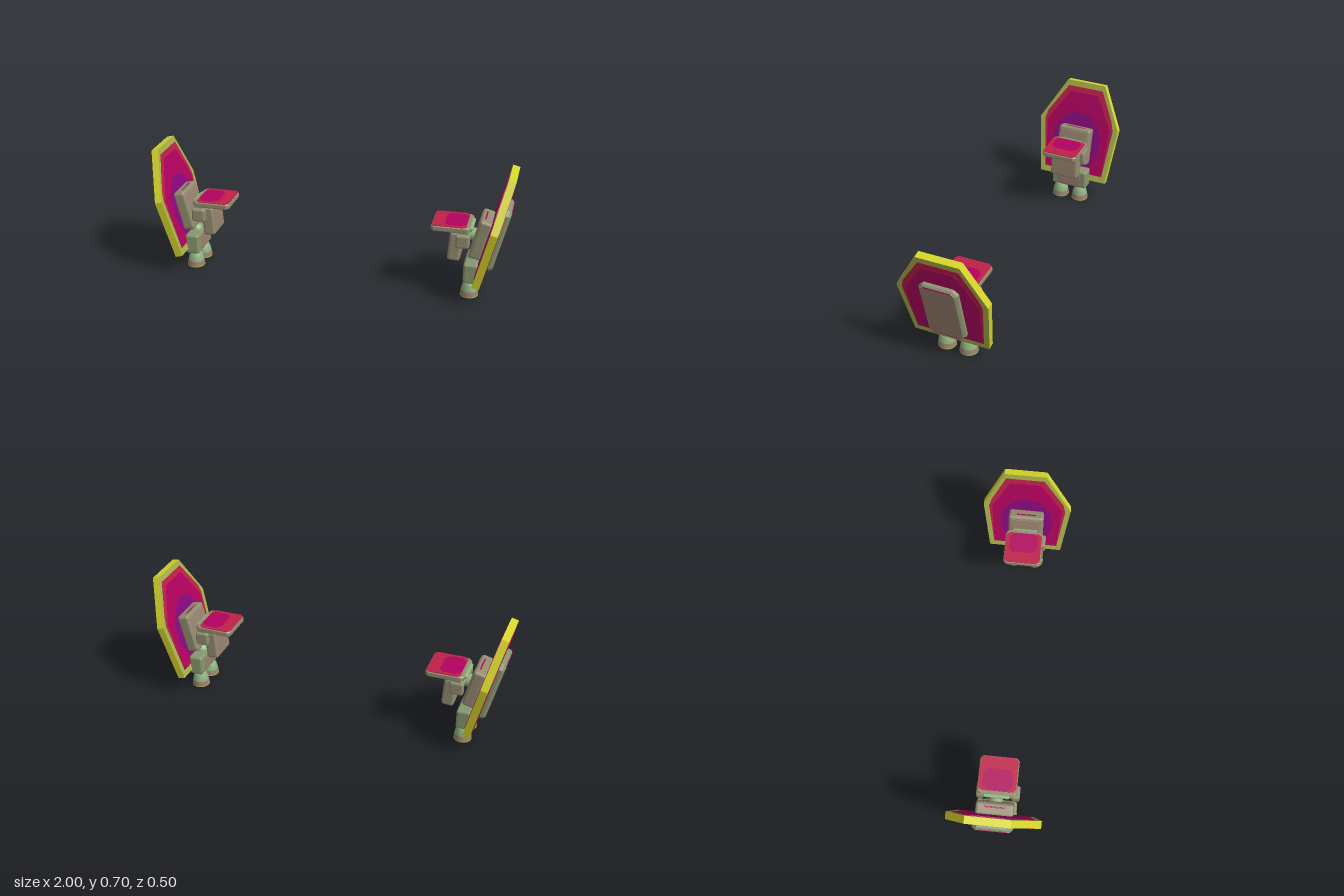
import * as THREE from 'three';
import { RoundedBoxGeometry } from 'three/addons/geometries/RoundedBoxGeometry.js';

const material = (name, color, side = THREE.FrontSide) => {
  const m = new THREE.MeshStandardMaterial({ color, side });
  m.name = name;
  return m;
};

const mats = {
  yellow: material('yellow rim', 0xd6d62a),
  olive: material('olive border', 0xa9b44c),
  crimson: material('crimson', 0xc0204a),
  magenta: material('magenta', 0xb2025f),
  purple: material('purple', 0x88087c),
  violet: material('violet', 0xaa088e, THREE.DoubleSide),
  taupe: material('taupe', 0x9a8270),
  khaki: material('khaki', 0x938c70),
  greyGreen: material('grey green', 0x88966f),
  green: material('soft green', 0x8fb381),
};

// Shield outline in its own plane: u runs towards the back, v runs up the panel
const outline = [[-0.21, 0], [0.21, 0], [0.25, 0.344], [0.135, 0.602], [-0.1, 0.602], [-0.25, 0.344]];
const inlay = [[-0.185, 0.038], [0.185, 0.038], [0.219, 0.335], [0.205, 0.39], [0.125, 0.568], [-0.09, 0.568], [-0.205, 0.39], [-0.219, 0.335]];
const field = [[-0.183, 0.04], [0.183, 0.04], [0.2, 0.34], [0.11, 0.52], [0.095, 0.535], [-0.07, 0.535], [-0.085, 0.52], [-0.2, 0.34]];
const patch = [[-0.143, 0.083], [-0.1, 0.083], [-0.1, 0.145], [-0.12, 0.135], [-0.14, 0.105]];

function mesh(parent, name, geometry, mat, x = 0, y = 0, z = 0) {
  const m = new THREE.Mesh(geometry, mat);
  m.name = name;
  m.position.set(x, y, z);
  parent.add(m);
  return m;
}

// Flat plate facing +x, cut from a polygon, starting at x and growing outwards
function plate(parent, name, points, x, depth, mat, bevel = 0) {
  const shape = new THREE.Shape(points.map(([u, v]) => new THREE.Vector2(u, v)));
  const geometry = new THREE.ExtrudeGeometry(shape, {
    depth: depth - bevel, bevelEnabled: bevel > 0, bevelSize: bevel,
    bevelOffset: -bevel, bevelThickness: bevel, bevelSegments: 1,
  });
  geometry.rotateY(Math.PI / 2);
  return mesh(parent, name, geometry, mat, x);
}

function box(parent, name, size, pos, mat, radius = 0.012) {
  return mesh(parent, name, new RoundedBoxGeometry(...size, 2, radius), mat, ...pos);
}

// Rectangle with cut corners
function octagon(w, v0, v1, c) {
  return [[-w + c, v0], [w - c, v0], [w, v0 + c], [w, v1 - c],
    [w - c, v1], [-w + c, v1], [-w, v1 - c], [-w, v0 + c]];
}

function createShield() {
  const shield = new THREE.Group();
  shield.name = 'shield';
  plate(shield, 'shieldPanel', outline, -0.04, 0.04, [mats.olive, mats.yellow]);

  // Coloured inlays on both faces
  plate(shield, 'outerInlay', inlay, 0, 0.002, mats.crimson);
  plate(shield, 'outerField', field, 0.002, 0.002, mats.magenta);
  plate(shield, 'outerPatch', patch, 0.004, 0.001, mats.purple);
  plate(shield, 'innerInlay', inlay, -0.042, 0.002, mats.crimson);
  plate(shield, 'innerField', field, -0.044, 0.002, mats.magenta);
  const centre = mesh(shield, 'innerCentre', new THREE.CircleGeometry(1, 32), mats.purple, -0.0455, 0.23, 0);
  centre.rotation.y = -Math.PI / 2;
  centre.scale.set(0.15, 0.185, 1);

  // Raised cover outside, with thin accents at both ends of its face
  plate(shield, 'outerCover', octagon(0.105, 0.063, 0.432, 0.025), 0, 0.033, mats.greyGreen, 0.012);
  plate(shield, 'coverFace', octagon(0.09, 0.074, 0.421, 0.008), 0.032, 0.003, mats.taupe);
  for (const v of [0.0715, 0.4235]) {
    box(shield, 'coverAccent', [0.004, 0.006, 0.15], [0.033, v, 0], mats.magenta, 0.001);
  }

  // Mounting block inside
  box(shield, 'mountBlock', [0.07, 0.225, 0.2], [-0.075, 0.22, 0], mats.khaki, 0.016);
  box(shield, 'mountFace', [0.006, 0.185, 0.16], [-0.109, 0.22, 0], mats.taupe, 0.003);
  box(shield, 'mountStripe', [0.008, 0.004, 0.11], [-0.085, 0.332, 0], mats.magenta, 0.001);
  return shield;
}

function createNozzle() {
  const nozzle = new THREE.Group();
  nozzle.name = 'nozzle';
  const lathe = (pts) => new THREE.LatheGeometry(pts.map(([r, y]) => new THREE.Vector2(r, y)), 28);
  mesh(nozzle, 'nozzleBell', lathe([[0.045, 0.034], [0.041, 0.055], [0.034, 0.075], [0.027, 0.084], [0, 0.088]]), mats.green);
  mesh(nozzle, 'nozzleBand', lathe([[0.049, 0.008], [0.048, 0.02], [0.045, 0.034]]), mats.taupe);
  mesh(nozzle, 'nozzleLip', lathe([[0.038, 0.002], [0.042, 0], [0.048, 0], [0.05, 0.003], [0.049, 0.008]]), mats.olive);
  mesh(nozzle, 'nozzleInside', lathe([[0.039, 0.002], [0.035, 0.014], [0, 0.02]]), mats.violet);
  return nozzle;
}

// Flat tray with cut corners, coloured on top and underneath
function createTray() {
  const tray = new THREE.Group();
  tray.name = 'tray';
  plate(tray, 'trayBody', octagon(0.105, -0.105, 0.105, 0.016), -0.013, 0.026, mats.khaki, 0.006);
  plate(tray, 'trayTop', octagon(0.101, -0.084, 0.101, 0.016), 0.012, 0.004, mats.crimson);
  plate(tray, 'trayTopCentre', octagon(0.08, -0.082, 0.035, 0.025), 0.016, 0.001, mats.magenta);
  plate(tray, 'trayUnderside', octagon(0.092, -0.03, 0.096, 0.012), -0.021, 0.003, mats.crimson);
  tray.rotation.z = Math.PI / 2;
  tray.position.set(0.67, 0.394, 0);
  return tray;
}

function createPod() {
  const pod = new THREE.Group();

  const shield = createShield();
  shield.position.set(0.85, 0.107, 0);
  shield.rotation.z = -0.2515;
  pod.add(shield);

  // Base block with a central band, on two nozzles
  box(pod, 'baseBlock', [0.08, 0.115, 0.22], [0.79, 0.1425, 0], mats.greyGreen, 0.014);
  box(pod, 'baseBand', [0.084, 0.09, 0.14], [0.79, 0.1425, 0], mats.taupe, 0.004);
  box(pod, 'baseUnderside', [0.06, 0.006, 0.13], [0.79, 0.086, 0], mats.magenta, 0.002);
  for (const z of [0.0625, -0.0625]) {
    const nozzle = createNozzle();
    nozzle.position.set(0.785, 0, z);
    pod.add(nozzle);
  }
  mesh(pod, 'baseJoint', new THREE.SphereGeometry(0.036, 24, 16), mats.green, 0.795, 0.195, 0);

  // Arm joint between the mount and the hanging block
  const axle = mesh(pod, 'armAxle', new THREE.CylinderGeometry(0.035, 0.035, 0.12, 24), mats.green, 0.755, 0.335, 0);
  axle.rotation.z = Math.PI / 2;
  const hinge = mesh(pod, 'armHinge', new THREE.CylinderGeometry(0.03, 0.03, 0.2, 24), mats.green, 0.745, 0.358, 0);
  hinge.rotation.x = Math.PI / 2;
  box(pod, 'frontClamp', [0.075, 0.075, 0.045], [0.74, 0.332, 0.1], mats.khaki);
  box(pod, 'backClamp', [0.075, 0.075, 0.04], [0.74, 0.332, -0.09], mats.khaki);

  // Hanging block under the tray
  const hanging = new THREE.Group();
  hanging.name = 'hangingBlock';
  hanging.position.set(0.696, 0.285, 0);
  hanging.rotation.z = -0.07;
  pod.add(hanging);
  box(hanging, 'hangingBody', [0.068, 0.165, 0.17], [0, 0, 0], mats.khaki, 0.014);
  box(hanging, 'hangingFace', [0.004, 0.13, 0.135], [-0.033, 0, 0], mats.taupe, 0.001);
  box(hanging, 'hangingStripe', [0.012, 0.004, 0.11], [-0.01, -0.082, 0], mats.magenta, 0.001);

  pod.add(createTray());
  box(pod, 'trayHinge', [0.04, 0.026, 0.14], [0.768, 0.39, 0], mats.green, 0.01);
  return pod;
}

export function createModel() {
  const model = new THREE.Group();
  model.name = 'shieldedPodPair';
  for (const side of [1, -1]) {
    const pod = createPod();
    pod.name = side > 0 ? 'leftPod' : 'rightPod';
    pod.scale.x = side;
    model.add(pod);
  }
  return model;
}
